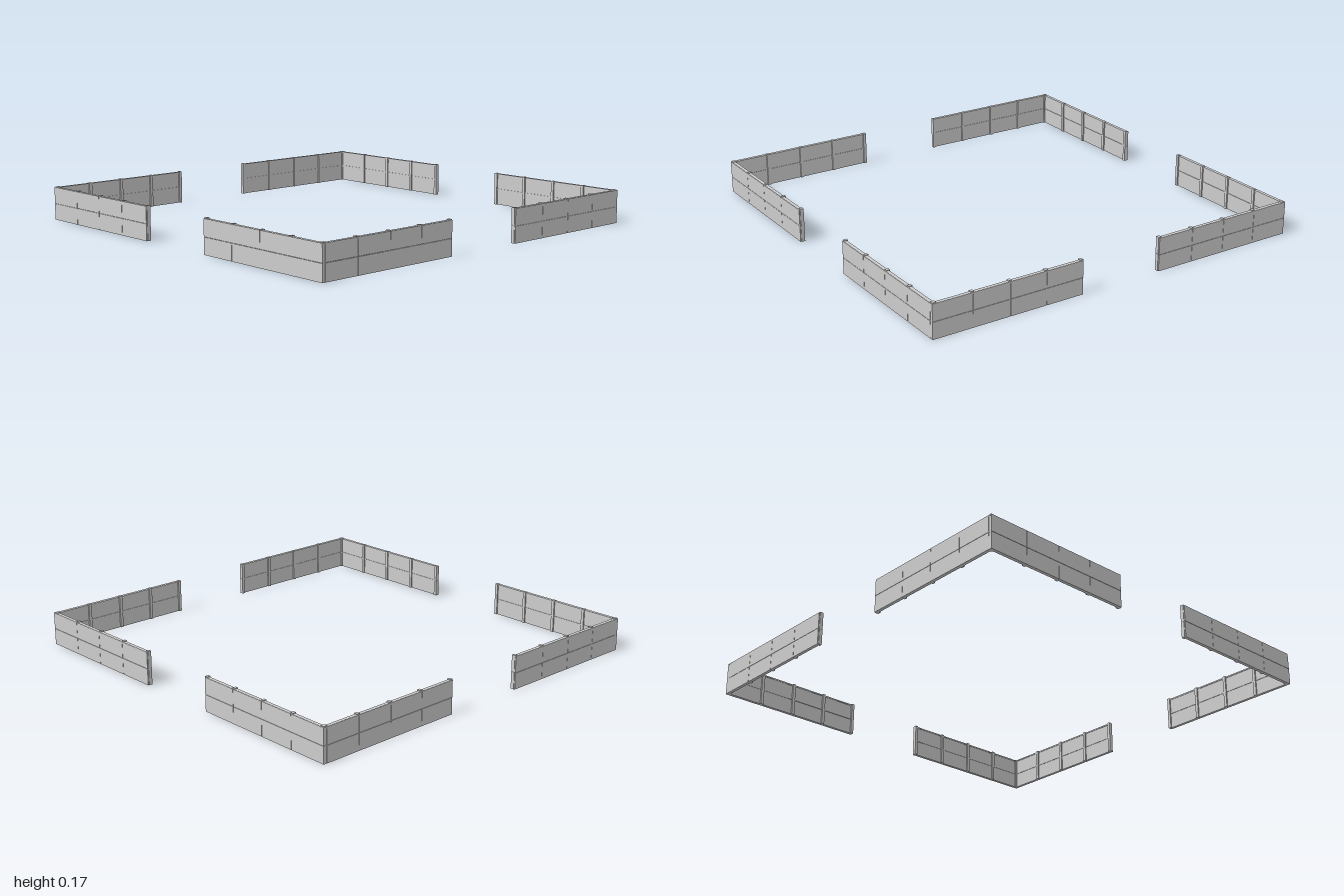
import * as THREE from 'three';

const material = new THREE.MeshStandardMaterial({ color: 0xcccccc, flatShading: true });

const OUTER = 0.998;      // outer face of the enclosure
const START = 0.216;      // edge of the opening in each side
const HEIGHT = 0.165;
const COLUMNS = 4;
const ROWS = 2;
const GAP = 0.0015;       // joint between neighbouring panels

// One straight wall, facing sideways (alongX false) or front/back (alongX true).
// u runs along the wall away from the opening, v is the distance from the centre.
function createWall(name, alongX, sx, sz) {
  const wall = new THREE.Group();
  wall.name = name;

  function box(part, u0, u1, y0, y1, v0, v1) {
    const du = u1 - u0, dv = v1 - v0, u = (u0 + u1) / 2, v = (v0 + v1) / 2;
    const geometry = new THREE.BoxGeometry(alongX ? du : dv, y1 - y0, alongX ? dv : du);
    const mesh = new THREE.Mesh(geometry, material);
    mesh.position.set(sx * (alongX ? u : v), (y0 + y1) / 2, sz * (alongX ? v : u));
    mesh.name = part;
    wall.add(mesh);
  }

  // Side walls stop against the inside of the front and back walls
  const end = alongX ? OUTER : OUTER - 0.016;
  const step = (OUTER - 0.012 - START - 0.006) / COLUMNS;
  const rowHeight = HEIGHT / ROWS;

  // Two courses of panels
  for (let c = 0; c < COLUMNS; c++) {
    const u0 = c === 0 ? START : START + 0.006 + c * step;
    const u1 = c === COLUMNS - 1 ? end : START + 0.006 + (c + 1) * step;
    for (let r = 0; r < ROWS; r++) {
      box('panel', u0 + GAP / 2, u1 - GAP / 2,
        r * rowHeight + (r ? GAP / 2 : 0), (r + 1) * rowHeight - (r < ROWS - 1 ? GAP / 2 : 0),
        OUTER - 0.016, OUTER);
    }
  }

  // Posts behind the panel joints, standing slightly proud of the top
  for (let i = 0; i <= COLUMNS; i++) {
    const u = START + 0.006 + i * step;
    box('post', u - 0.008, u + 0.008, 0, HEIGHT + 0.004, OUTER - 0.023, OUTER - 0.005);
  }

  // Thin rails on the inside at the top and between the courses
  box('topRail', START, end, HEIGHT - 0.006, HEIGHT + 0.001, OUTER - 0.0185, OUTER - 0.001);
  box('middleRail', START - 0.003, end, rowHeight - 0.003, rowHeight + 0.003, OUTER - 0.0185, OUTER - 0.004);
  return wall;
}

export function createModel() {
  const model = new THREE.Group();
  model.name = 'panelEnclosure';

  // Four L-shaped corners, leaving an opening in the middle of every side
  for (const sx of [1, -1]) {
    for (const sz of [1, -1]) {
      const corner = new THREE.Group();
      const side = sx > 0 ? 'Left' : 'Right';
      const end = sz > 0 ? 'front' : 'back';
      corner.name = `${end}${side}Corner`;
      corner.add(createWall(`${end}Wall`, true, sx, sz));
      corner.add(createWall(`${side.toLowerCase()}Wall`, false, sx, sz));
      model.add(corner);
    }
  }
  return model;
}
